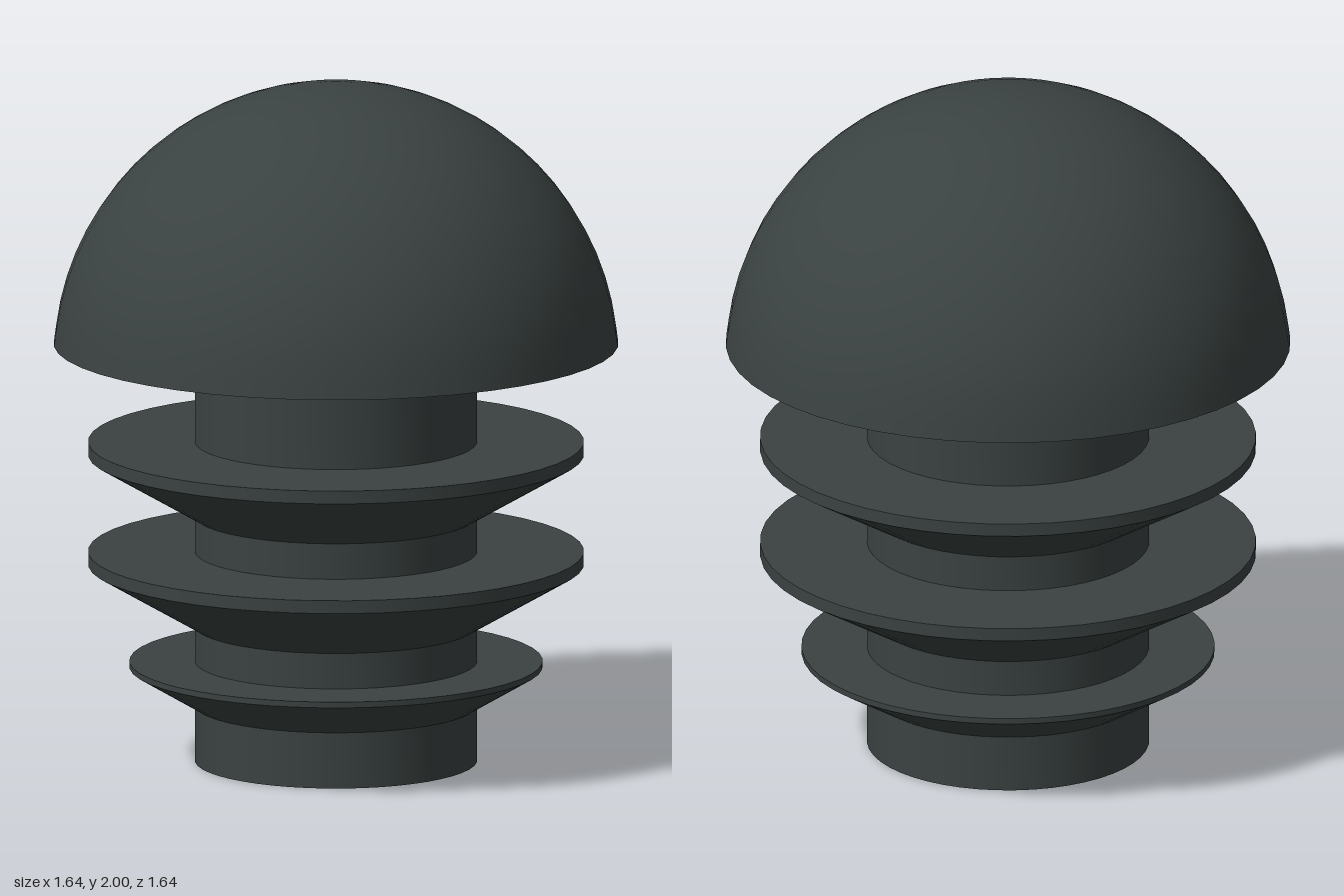
import * as THREE from 'three';
import { toCreasedNormals } from 'three/addons/utils/BufferGeometryUtils.js';

const SIDES = 48;
const STEM_R = 0.41;
const BORE_R = 0.31;
const CAP_Y = 1.235;

export function createModel() {
  const group = new THREE.Group();
  group.name = 'ribbedPlug';
  const material = new THREE.MeshStandardMaterial({ color: 0x3a4241 });

  // Turned part from a profile of [radius, height] running bottom to top on the outside
  function turned(name, profile) {
    const points = profile.map(([r, y]) => new THREE.Vector2(r, y));
    const geometry = toCreasedNormals(new THREE.LatheGeometry(points, SIDES), Math.PI / 7);
    const mesh = new THREE.Mesh(geometry, material);
    mesh.name = name;
    group.add(mesh);
  }

  // Hollow stem, open at the bottom and closed under the cap
  turned('stem', [[0, CAP_Y], [BORE_R, CAP_Y], [BORE_R, 0], [STEM_R, 0], [STEM_R, CAP_Y]]);

  // Flared sealing fins: cone, thin vertical rim, flat top
  const fins = [
    { name: 'lowerFin', radius: 0.6, base: 0.165, rim: 0.278, top: 0.295 },
    { name: 'middleFin', radius: 0.72, base: 0.4, rim: 0.582, top: 0.62 },
    { name: 'upperFin', radius: 0.72, base: 0.725, rim: 0.907, top: 0.945 },
  ];
  for (const { name, radius, base, rim, top } of fins) {
    turned(name, [[STEM_R, base], [radius, rim], [radius, top], [STEM_R, top]]);
  }

  // Domed cap: flat underside, short straight edge, spherical top
  const R = 0.82;
  const centreY = 2 - R;
  const cap = [[STEM_R, CAP_Y], [R, CAP_Y]];
  const start = 0.12;
  const steps = 16;
  for (let i = 0; i <= steps; i++) {
    const a = start + (Math.PI / 2 - start) * (i / steps);
    cap.push([i === steps ? 0 : R * Math.cos(a), centreY + R * Math.sin(a)]);
  }
  turned('domeCap', cap);

  return group;
}
